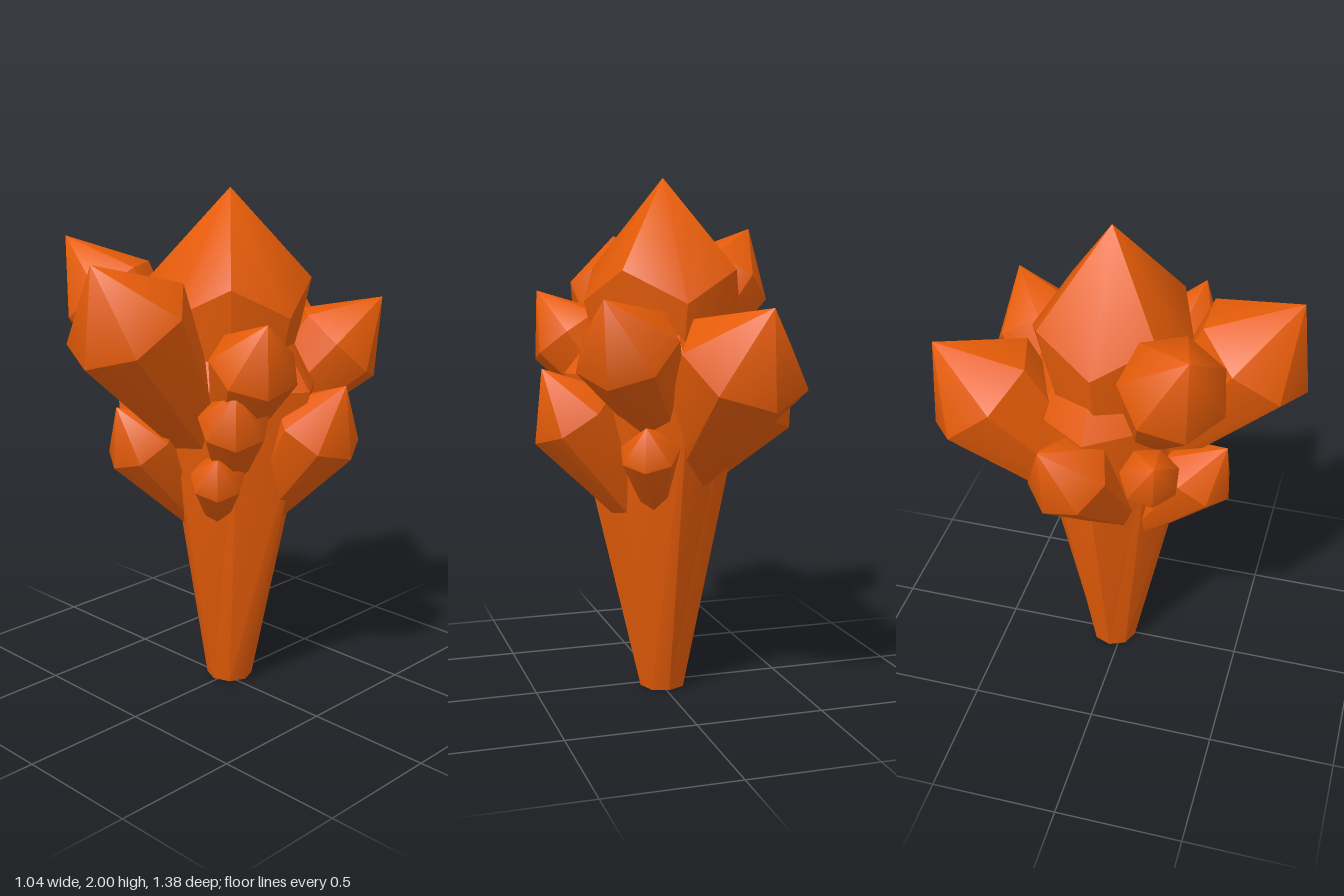
import * as THREE from 'three';

const material = new THREE.MeshStandardMaterial({ color: 0xe65c08 });

// Pointed crystal along +y: ring centre at the origin, tip above, tapered shaft below.
// Odd ring corners are raised and even ones lowered by `stagger`;
// `pinch` scales the radius of the odd corners.
function crystalGeometry(r, sides, tipHeight, shaftLength, footRadius, stagger = 0, pinch = 1) {
  const pos = [];
  const index = [];
  const addRing = (radius, y, lift, squeeze) => {
    for (let i = 0; i < sides; i++) {
      const a = i / sides * Math.PI * 2;
      const rad = i % 2 ? radius * squeeze : radius;
      pos.push(Math.sin(a) * rad, y + (i % 2 ? lift : -lift), Math.cos(a) * rad);
    }
  };
  addRing(r, 0, stagger, pinch);
  addRing(footRadius, -shaftLength, 0, 1);
  const tip = sides * 2;
  pos.push(0, tipHeight, 0, 0, -shaftLength, 0);
  for (let i = 0; i < sides; i++) {
    const j = (i + 1) % sides;
    index.push(i, j, tip);                                     // point
    index.push(sides + i, sides + j, j, sides + i, j, i);      // shaft
    index.push(sides + j, sides + i, tip + 1);                 // foot
  }
  const indexed = new THREE.BufferGeometry();
  indexed.setAttribute('position', new THREE.Float32BufferAttribute(pos, 3));
  indexed.setIndex(index);
  indexed.computeVertexNormals();

  // Softened facets: flat normals blended a little toward the smooth ones
  const g = indexed.toNonIndexed();
  const smooth = g.getAttribute('normal').clone();
  g.computeVertexNormals();
  const flat = g.getAttribute('normal');
  const a = new THREE.Vector3(), b = new THREE.Vector3();
  for (let i = 0; i < flat.count; i++) {
    a.fromBufferAttribute(flat, i).lerp(b.fromBufferAttribute(smooth, i), 0.35).normalize();
    flat.setXYZ(i, a.x, a.y, a.z);
  }
  return g;
}

// Side crystal: ring centre, tip position and ring radius
function sideCrystal(name, centre, tip, r) {
  const c = new THREE.Vector3(...centre);
  const axis = new THREE.Vector3(...tip).sub(c);
  const height = axis.length();
  axis.normalize();
  const mesh = new THREE.Mesh(crystalGeometry(r, 7, height, r * 3.1, r * 0.3), material);
  mesh.name = name;
  mesh.position.copy(c);
  // one ring corner points outward and down, in the vertical plane of the axis
  const out = new THREE.Vector3(axis.x, 0, axis.z).normalize();
  const z = out.addScaledVector(axis, -out.dot(axis)).normalize();
  const x = new THREE.Vector3().crossVectors(axis, z);
  mesh.quaternion.setFromRotationMatrix(new THREE.Matrix4().makeBasis(x, axis, z));
  return mesh;
}

export function createModel() {
  const group = new THREE.Group();
  group.name = 'crystalCluster';

  // Central stem, widening upward, pinched on the diagonals and leaning very slightly
  const stem = new THREE.Mesh(crystalGeometry(0.375, 8, 0.45, 1.275, 0.092, 0, 0.83), material);
  stem.name = 'stem';
  stem.position.set(0.01, 1.277, -0.055);
  stem.rotation.set(-0.016, 0, -0.016);
  group.add(stem);

  // Large top crystal with staggered shoulders
  const crown = new THREE.Mesh(crystalGeometry(0.312, 8, 0.4, 0.9, 0.1, 0.06), material);
  crown.name = 'topCrystal';
  crown.position.set(-0.01, 1.6, -0.035);
  group.add(crown);

  // Crystals branching off around the stem
  const branches = [
    ['frontCrystal', [0, 1.56, 0.5], [0, 1.78, 0.66], 0.245],
    ['backCrystal', [-0.175, 1.34, -0.5], [-0.22, 1.54, -0.665], 0.25],
    ['frontRightCrystal', [-0.365, 1.6, 0.28], [-0.51, 1.81, 0.36], 0.2],
    ['backLeftCrystal', [0.235, 1.39, -0.395], [0.35, 1.57, -0.52], 0.2],
    ['frontLeftCrystal', [0.315, 1.4, 0.17], [0.43, 1.57, 0.225], 0.17],
    ['leftCrystal', [0.37, 1.12, -0.125], [0.49, 1.3, -0.14], 0.18],
    ['rightCrystal', [-0.37, 1.15, -0.11], [-0.495, 1.325, -0.18], 0.17],
    ['lowerFrontCrystal', [-0.12, 1.06, 0.335], [-0.14, 1.21, 0.44], 0.15],
    ['smallRightCrystal', [-0.285, 1.13, 0.18], [-0.385, 1.25, 0.22], 0.115],
    ['smallLeftCrystal', [0.25, 1.18, 0.21], [0.33, 1.32, 0.28], 0.135],
    ['tinyFrontCrystal', [0.165, 0.945, 0.21], [0.22, 1.04, 0.265], 0.105],
    ['tinyBackCrystal', [0.13, 1.0, -0.33], [0.16, 1.1, -0.39], 0.115],
  ];
  for (const b of branches) group.add(sideCrystal(...b));
  return group;
}
